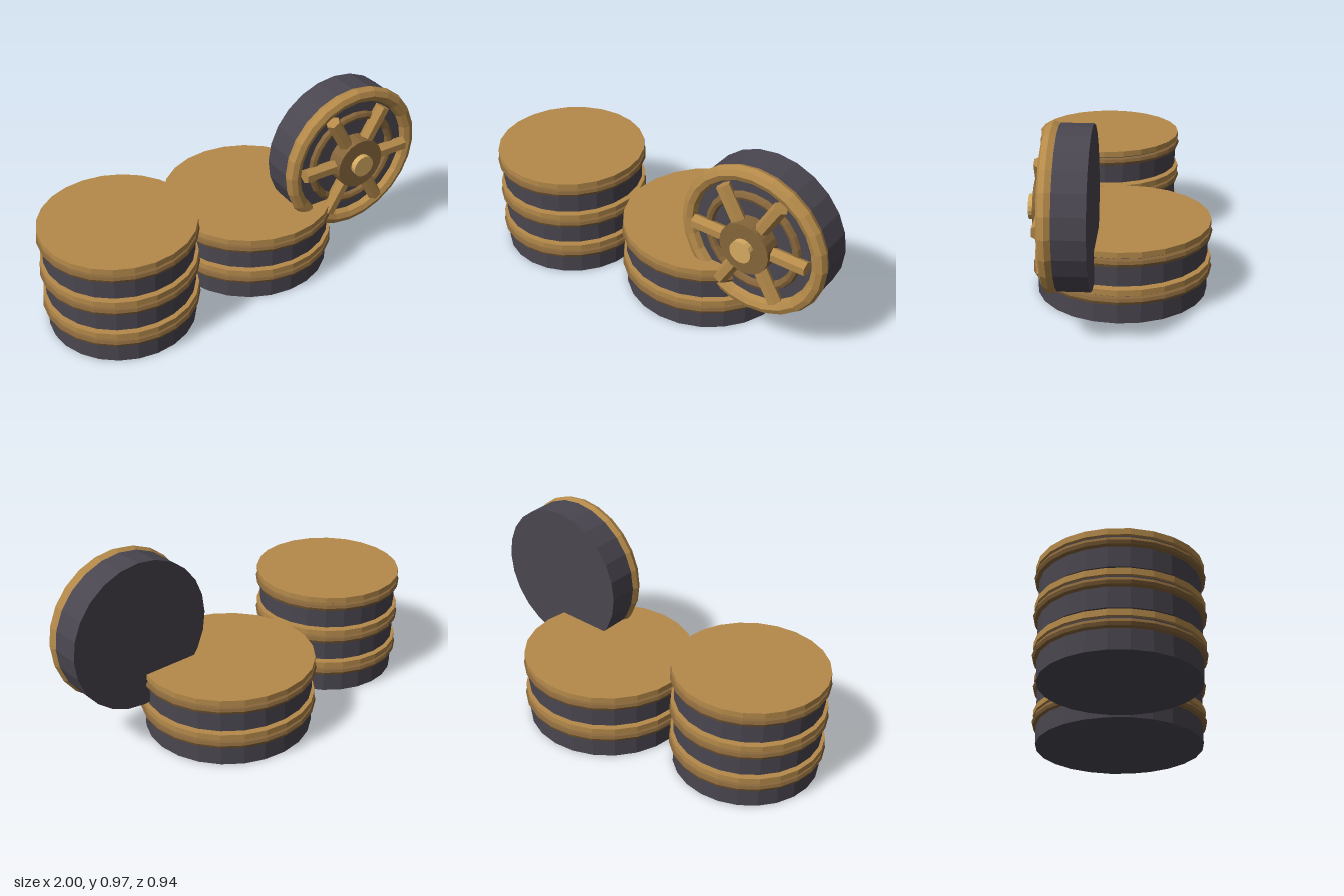
import * as THREE from 'three';

const mat = (name, color) => {
  const m = new THREE.MeshStandardMaterial({ color, flatShading: true });
  m.name = name;
  return m;
};

export function createModel() {
  const iron = mat('dark iron', 0x4a4650);
  const gold = mat('gold', 0xb58a4a);
  const brass = mat('dark brass', 0x86653a);
  const bright = mat('bright gold', 0xd4aa60);
  const SIDES = 24;

  const add = (parent, name, geometry, material, x = 0, y = 0, z = 0) => {
    const mesh = new THREE.Mesh(geometry, material);
    mesh.name = name;
    mesh.position.set(x, y, z);
    parent.add(mesh);
    return mesh;
  };
  // Upright disc standing on its base
  const disc = (r, h, sides = SIDES) => new THREE.CylinderGeometry(r, r, h, sides).translate(0, h / 2, 0);
  // Disc whose axis runs along z, starting at z = 0
  const facing = (r, h, sides = SIDES) => disc(r, h, sides).rotateX(Math.PI / 2);

  const model = new THREE.Group();
  model.name = 'canisterPile';

  // Stacks of lidded canisters
  const stack = (name, x, z, radius, count) => {
    const group = new THREE.Group();
    group.name = name;
    group.position.set(x, 0, z);
    for (let i = 0; i < count; i++) {
      const can = new THREE.Group();
      can.name = 'canister';
      can.position.y = i * 0.1885;
      add(can, 'body', disc(radius, 0.15), iron);
      add(can, 'band', new THREE.TorusGeometry(radius, 0.021, 8, SIDES).rotateX(Math.PI / 2), brass, 0, 0.117);
      add(can, 'lid', disc(radius + 0.015, 0.029), gold, 0, 0.146);
      group.add(can);
    }
    model.add(group);
  };
  stack('tallStack', -0.62, 0.088, 0.3625, 3);
  stack('wideStack', 0.175, -0.029, 0.419, 2);

  // Canister on its side, showing its spoked face
  const wheel = new THREE.Group();
  wheel.name = 'spokedCanister';
  wheel.position.set(0.608, 0.58, 0);
  add(wheel, 'body', facing(0.375, 0.175), iron, 0, 0, 0.075);
  add(wheel, 'rim', new THREE.TorusGeometry(0.348, 0.038, 8, SIDES), gold, 0, 0, 0.252);
  add(wheel, 'innerRing', new THREE.TorusGeometry(0.235, 0.022, 8, SIDES), brass, 0, 0, 0.255);
  add(wheel, 'hub', facing(0.13, 0.083), brass, 0, 0, 0.25);
  add(wheel, 'boss', facing(0.056, 0.03, 16), bright, 0, 0, 0.332);

  // Six hexagonal spokes with a flat side to the front
  for (let i = 0; i < 6; i++) {
    const geometry = new THREE.CylinderGeometry(0.036, 0.036, 0.22, 6);
    geometry.rotateY(Math.PI / 6).translate(0, 0.192, 0).rotateZ(i * Math.PI / 3 - Math.PI / 2);
    add(wheel, 'spoke', geometry, gold, 0, 0, 0.284);
  }
  model.add(wheel);
  return model;
}
